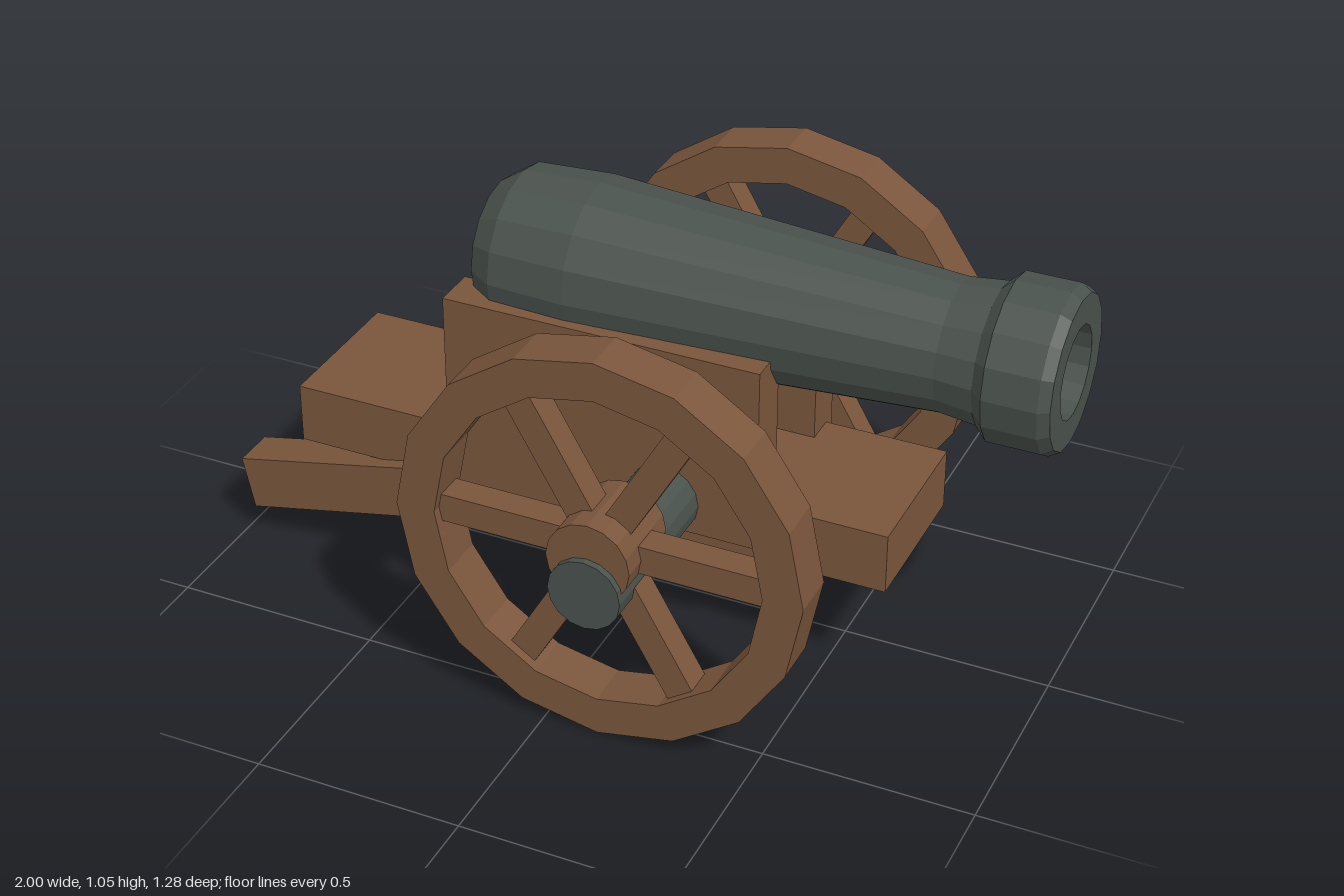
import * as THREE from 'three';

const wood = new THREE.MeshStandardMaterial({ color: 0x7a563c, flatShading: true });
wood.name = 'brown wood';
const iron = new THREE.MeshStandardMaterial({ color: 0x4a524d, flatShading: true });
iron.name = 'dark iron';

function add(parent, name, geometry, material, x = 0, y = 0, z = 0) {
  const mesh = new THREE.Mesh(geometry, material);
  mesh.name = name;
  mesh.position.set(x, y, z);
  parent.add(mesh);
  return mesh;
}

// Cylinder lying along z
function rod(radius, length) {
  return new THREE.CylinderGeometry(radius, radius, length, 16).rotateX(Math.PI / 2);
}

function polygon(path, radius, sides) {
  for (let i = 0; i < sides; i++) {
    const a = (i / sides) * Math.PI * 2;
    const p = [radius * Math.cos(a), radius * Math.sin(a)];
    if (i === 0) path.moveTo(...p);
    else path.lineTo(...p);
  }
  path.closePath();
  return path;
}

// Rim, hub and six spokes, centred on the hub
function createWheel() {
  const wheel = new THREE.Group();
  const shape = polygon(new THREE.Shape(), 0.487, 16);
  shape.holes.push(polygon(new THREE.Path(), 0.393, 16));
  const rim = new THREE.ExtrudeGeometry(shape, { depth: 0.116, bevelEnabled: false });
  add(wheel, 'rim', rim.translate(0, 0, -0.058), wood);
  add(wheel, 'hub', rod(0.1, 0.19), wood);
  for (let i = 0; i < 6; i++) {
    const spoke = new THREE.BoxGeometry(0.35, 0.07, 0.07).translate(0.235, 0, 0);
    add(wheel, 'spoke', spoke, wood).rotation.z = (i * Math.PI) / 3;
  }
  return wheel;
}

export function createModel() {
  const model = new THREE.Group();
  model.name = 'fieldCannon';

  // Barrel profile as [radius, position along x], breech to muzzle and into the bore
  const profile = [
    [0, -0.4], [0.09, -0.4], [0.155, -0.382], [0.197, -0.32], [0.207, -0.13],
    [0.154, 0.73], [0.164, 0.82], [0.193, 0.85], [0.193, 0.975], [0.178, 1],
    [0.108, 1], [0.108, 0.65], [0, 0.65],
  ].map(([r, h]) => new THREE.Vector2(r, h));
  const barrel = new THREE.LatheGeometry(profile, 16).rotateZ(-Math.PI / 2);
  add(model, 'barrel', barrel, iron, 0, 0.85, 0);

  // Carriage bed and axle
  add(model, 'bed', new THREE.BoxGeometry(1.5, 0.15, 0.38), wood, -0.09, 0.365, 0);
  add(model, 'axle', rod(0.087, 1.28), iron, 0.13, 0.417, 0);

  // Cheeks, sloping trail beams and wheels on both sides
  const tilt = 0.212;
  for (const side of [1, -1]) {
    const label = side > 0 ? 'front' : 'back';
    add(model, label + 'Cheek', new THREE.BoxGeometry(0.78, 0.465, 0.109), wood, -0.03, 0.5725, side * 0.1705);
    const beam = new THREE.BoxGeometry(1.06, 0.135, 0.107).translate(0.53, 0.0675, 0);
    add(model, label + 'TrailBeam', beam, wood, -0.971, 0.077, side * 0.1705).rotation.z = tilt;
    const wheel = createWheel();
    wheel.name = label + 'Wheel';
    wheel.position.set(0.132, 0.49, side * 0.528);
    model.add(wheel);
  }
  return model;
}
